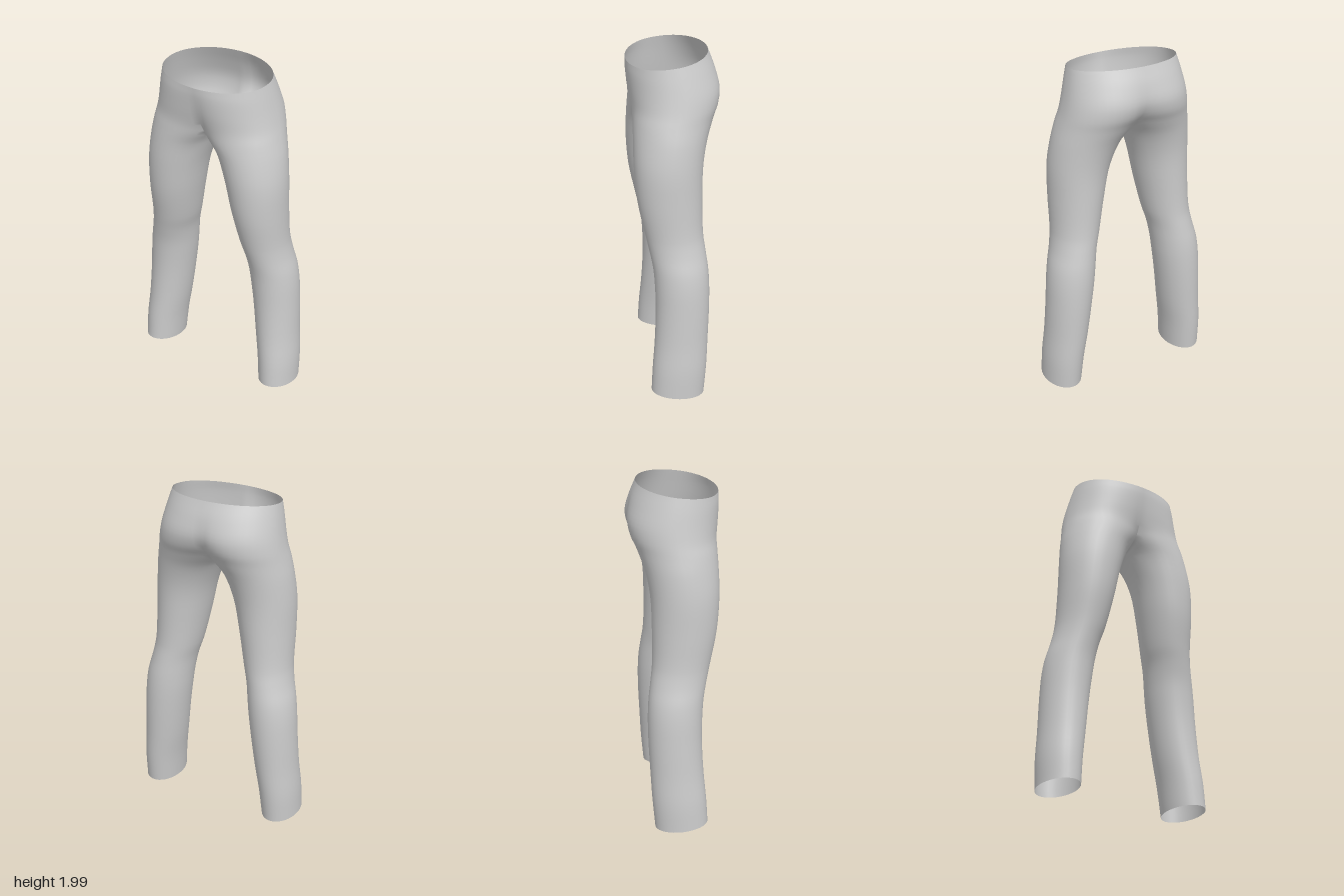
import * as THREE from 'three';
import { mergeVertices } from 'three/addons/utils/BufferGeometryUtils.js';

const OUTER = 26; // columns from front centre round the hip to back centre
const INNER = 10; // columns round the inside of the leg
const STEPS = 4;  // rows between two sections

// Hip sections: ellipses cut at the middle plane.
// [y, outer x, centre shift / radius, front z, back z]
const hips = [
  [1.978, 0.33, 0.0, 0.262, -0.205],
  [1.9, 0.347, 0.15, 0.26, -0.24],
  [1.8, 0.368, 0.34, 0.25, -0.26],
  [1.72, 0.385, 0.52, 0.24, -0.245],
  [1.65, 0.402, 0.75, 0.24, -0.212],
];
// Leg sections: full ellipses. [y, outer x, inner x, front z, back z]
const legs = [
  [1.55, 0.425, 0.024, 0.243, -0.175],
  [1.4, 0.443, 0.085, 0.245, -0.147],
  [1.2, 0.447, 0.13, 0.23, -0.14],
  [1.0, 0.452, 0.172, 0.19, -0.143],
  [0.9, 0.468, 0.2, 0.168, -0.155],
  [0.8, 0.493, 0.216, 0.15, -0.168],
  [0.7, 0.507, 0.228, 0.142, -0.174],
  [0.55, 0.516, 0.248, 0.139, -0.173],
  [0.35, 0.526, 0.275, 0.148, -0.164],
  [0.18, 0.539, 0.302, 0.163, -0.155],
  [0.018, 0.541, 0.318, 0.172, -0.14],
];
const SPLIT = hips.length - 1;
const RINGS = hips.length + legs.length;
const LEG_ANGLE = Math.asin(0.75);

function ellipsePoint(t, cx, rx, y, zf, zb, frontPower) {
  const c = Math.cos(t);
  const z = c > 0 ? Math.pow(c, frontPower) : c;
  return new THREE.Vector3(cx + rx * Math.sin(t), y, (zf + zb) / 2 + z * (zf - zb) / 2);
}

function hipPoint(i, w) {
  const [y, xo, ratio, zf, zb] = hips[i];
  const rx = xo / (1 + ratio), a = Math.asin(ratio);
  const p = ellipsePoint(-a + w * (Math.PI + 2 * a), xo - rx, rx, y, zf, zb, 0.87);
  if (i === 0) p.y -= 0.105 * p.z; // waist rises to the back
  return p;
}

function legPoint(i, t) {
  const [y, xo, xi, zf, zb] = legs[i];
  const p = ellipsePoint(t, (xo + xi) / 2, (xo - xi) / 2, y, zf, zb, 1);
  if (i === legs.length - 1) p.y += 0.08 * p.z; // hem rises to the front
  return p;
}

// Smooth vertical line of points for one column of the half garment
function column(j) {
  const inner = j > OUTER;
  const pts = [];
  let t;
  if (inner) {
    const w = (j - OUTER) / INNER;
    t = Math.PI + LEG_ANGLE + w * (Math.PI - 2 * LEG_ANGLE);
    const crotch = hipPoint(SPLIT, 1).lerp(hipPoint(SPLIT, 0), w);
    crotch.y -= 0.06 * Math.sin(Math.PI * w);
    pts.push(crotch);
  } else {
    const w = j / OUTER;
    t = -LEG_ANGLE + w * (Math.PI + 2 * LEG_ANGLE);
    hips.forEach((_, i) => pts.push(hipPoint(i, w)));
  }
  legs.forEach((_, i) => pts.push(legPoint(i, t)));
  const rows = new THREE.CatmullRomCurve3(pts).getPoints((pts.length - 1) * STEPS);
  return inner ? [...new Array(SPLIT * STEPS).fill(null), ...rows] : rows;
}

function trouserGeometry() {
  const cols = [];
  for (let j = 0; j < OUTER + INNER; j++) cols.push(column(j));
  const pos = [];
  const tri = (a, b, c) => {
    for (const p of [a, b, c]) pos.push(p.x, p.y, p.z);
    for (const p of [a, c, b]) pos.push(-p.x, p.y, p.z); // mirrored half
  };
  for (let r = 0; r < (RINGS - 1) * STEPS; r++) {
    const count = r < SPLIT * STEPS ? OUTER : OUTER + INNER;
    for (let j = 0; j < count; j++) {
      const left = cols[j], right = cols[(j + 1) % cols.length];
      tri(left[r], left[r + 1], right[r + 1]);
      tri(left[r], right[r + 1], right[r]);
    }
  }
  let geo = new THREE.BufferGeometry();
  geo.setAttribute('position', new THREE.Float32BufferAttribute(pos, 3));
  geo = mergeVertices(geo, 1e-4);
  // The waist leans slightly to the right side
  const p = geo.attributes.position;
  for (let i = 0; i < p.count; i++) {
    p.setX(i, p.getX(i) - 0.014 * THREE.MathUtils.smoothstep(p.getY(i), 1.3, 2));
  }
  geo.computeVertexNormals();
  return geo;
}

export function createModel() {
  const group = new THREE.Group();
  group.name = 'trousers';
  const material = new THREE.MeshStandardMaterial({ color: 0xcccccc, side: THREE.DoubleSide });
  const mesh = new THREE.Mesh(trouserGeometry(), material);
  mesh.name = 'trouserFabric';
  group.add(mesh);
  return group;
}
